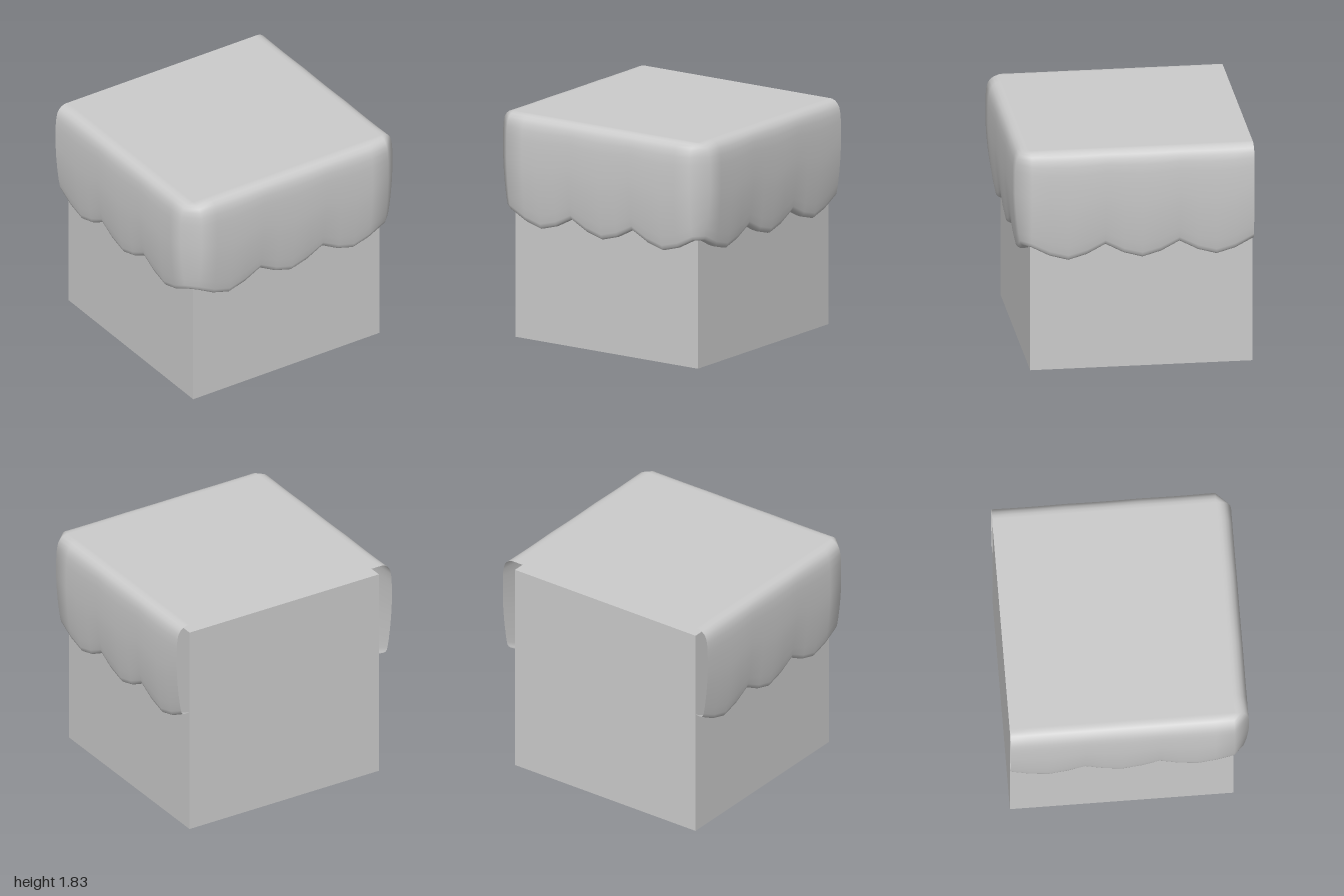
import * as THREE from 'three';

const HALF = 0.88, BACK = -0.94, FRONT = 0.82;      // block footprint
const TOP = 1.83, PEAK = 1.045, DROP = 0.12;        // cover heights and scallop depth

// Cover cross-section: [distance out from the block, fraction of the way down]
const PROFILE = [
  [0, 0], [0.03, 0], [0.06, 0.013], [0.085, 0.038], [0.103, 0.075], [0.113, 0.13],
  [0.119, 0.21], [0.12, 0.32], [0.12, 0.46], [0.114, 0.6], [0.104, 0.74], [0.091, 0.87],
  [0.08, 0.95], [0.073, 0.98], [0.06, 0.996], [0.04, 1], [0, 0.994],
];

// Path around three sides of the block, with outward direction and hem dip
function coverPath() {
  const dips = [0, 0.65, 1, 0.65];
  const sides = [
    { from: [-HALF, BACK], to: [-HALF, FRONT], out: [-1, 0] },
    { from: [-HALF, FRONT], to: [HALF, FRONT], out: [0, 1] },
    { from: [HALF, FRONT], to: [HALF, BACK], out: [1, 0] },
  ];
  const path = [];
  for (const { from, to, out } of sides) {
    for (let i = 0; i <= 12; i++) {
      const t = i / 12;
      path.push({
        x: from[0] + (to[0] - from[0]) * t,
        z: from[1] + (to[1] - from[1]) * t,
        out, dip: dips[i % 4],
      });
    }
  }
  return path;
}

// Skin swept around the path; the gap between sides forms the bevelled corners
function coverGeometry() {
  const path = coverPath(), n = path.length;
  const positions = [], index = [];
  for (const [d, down] of PROFILE) {
    for (const p of path) {
      const hem = PEAK - DROP * p.dip;
      positions.push(p.x + p.out[0] * d, TOP - (TOP - hem) * down, p.z + p.out[1] * d);
    }
  }
  for (let r = 0; r < PROFILE.length - 1; r++) {
    for (let i = 0; i < n - 1; i++) {
      const a = r * n + i, b = a + n;
      index.push(a, b, a + 1, a + 1, b, b + 1);
    }
  }
  const geometry = new THREE.BufferGeometry();
  geometry.setAttribute('position', new THREE.Float32BufferAttribute(positions, 3));
  geometry.setIndex(index);
  geometry.computeVertexNormals();
  return geometry;
}

export function createModel() {
  const model = new THREE.Group();
  const solid = new THREE.MeshStandardMaterial({ color: 0xcccccc });
  const thin = new THREE.MeshStandardMaterial({ color: 0xcccccc, side: THREE.DoubleSide });
  const depth = FRONT - BACK, midZ = (FRONT + BACK) / 2;

  // Plain cubic block
  const block = new THREE.Mesh(new THREE.BoxGeometry(HALF * 2, 1.76, depth), solid);
  block.name = 'block';
  block.position.set(0, 0.88, midZ);

  // Scalloped cover, open at the back
  const cover = new THREE.Group();
  cover.name = 'cover';
  const skirt = new THREE.Mesh(coverGeometry(), thin);
  skirt.name = 'scallopedSkirt';
  const top = new THREE.Mesh(new THREE.PlaneGeometry(HALF * 2, depth), thin);
  top.name = 'coverTop';
  top.rotation.x = -Math.PI / 2;
  top.position.set(0, TOP, midZ);
  cover.add(skirt, top);

  model.add(block, cover);
  return model;
}
